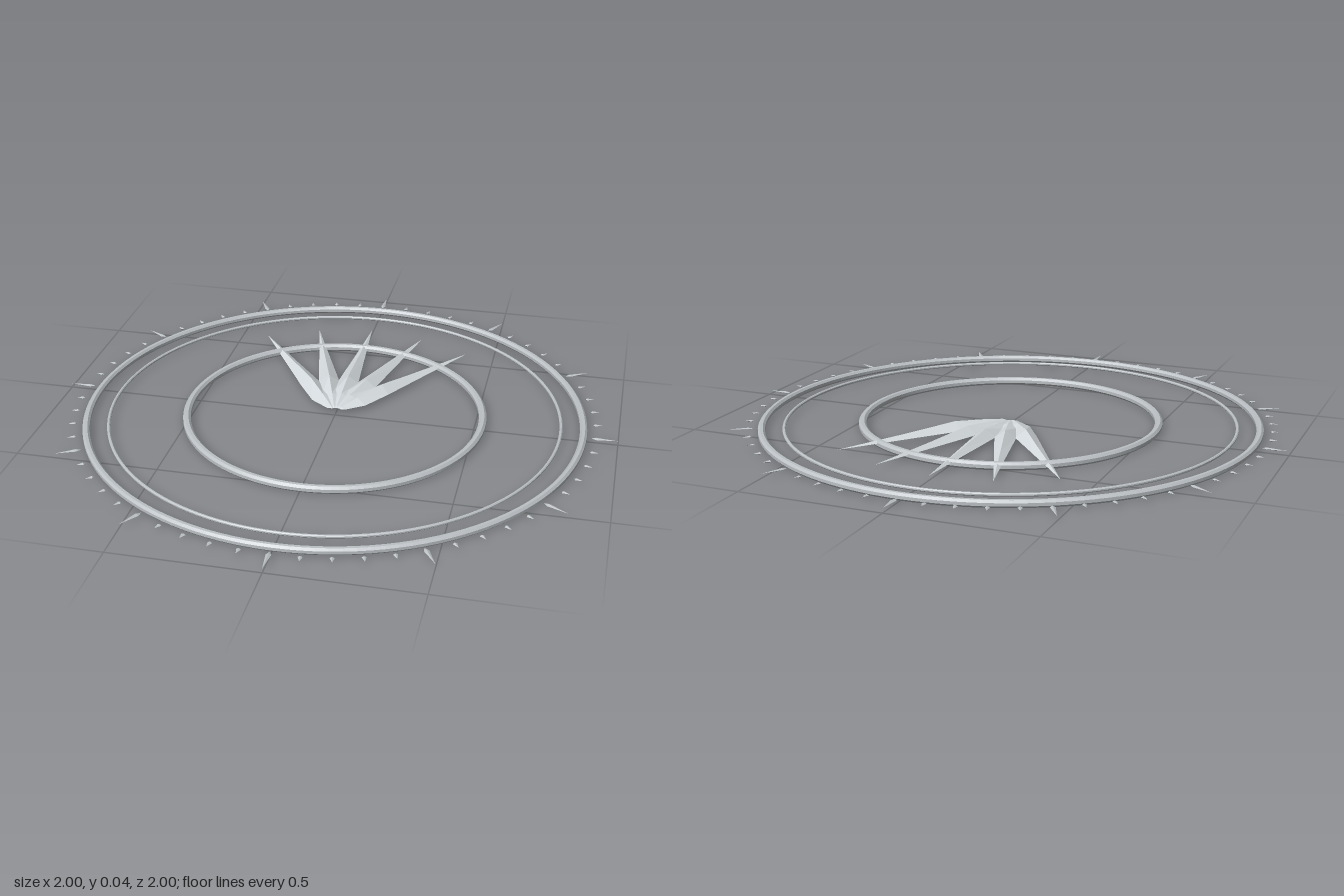
import * as THREE from 'three';

const paleSteel = new THREE.MeshStandardMaterial({ color: 0xd4dadd });
const steel = new THREE.MeshStandardMaterial({ color: 0xbcc1c5 });

// Faceted blade along -z; each section is [distance, half width, ridge height, underside height]
function bladeGeometry(sections) {
  const positions = [], index = [];
  for (const [r, w, top, under] of sections) {
    positions.push(w, 0, -r, 0, top, -r, -w, 0, -r, 0, under, -r);
  }
  for (let i = 0; i < sections.length - 1; i++) {
    for (let j = 0; j < 4; j++) {
      const a = i * 4 + j, b = i * 4 + (j + 1) % 4;
      index.push(a, a + 4, b, b, a + 4, b + 4);
    }
  }
  const geometry = new THREE.BufferGeometry();
  geometry.setAttribute('position', new THREE.Float32BufferAttribute(positions, 3));
  geometry.setIndex(index);
  const flat = geometry.toNonIndexed();
  flat.computeVertexNormals();
  return flat;
}

// Ring with an eight-sided section, flat on top and on its walls
function ringGeometry(radius, halfWidth) {
  const profile = [];
  for (let i = 0; i <= 8; i++) {
    const a = (i + 0.5) * Math.PI / 4, s = halfWidth / Math.cos(Math.PI / 8);
    profile.push(new THREE.Vector2(radius + s * Math.cos(a), s * Math.sin(a)));
  }
  const flat = new THREE.LatheGeometry(profile.reverse(), 128).toNonIndexed();
  flat.computeVertexNormals();
  // Lathe faces must look outward from the section
  const p = flat.attributes.position, n = flat.attributes.normal;
  const outward = (Math.hypot(p.getX(0), p.getZ(0)) - radius) * Math.hypot(n.getX(0), n.getZ(0))
    * Math.sign(p.getX(0) * n.getX(0) + p.getZ(0) * n.getZ(0)) + p.getY(0) * n.getY(0);
  if (outward < 0) {
    flat.setIndex(Array.from({ length: p.count }, (_, i) => i - i % 3 + 2 - i % 3));
    const turned = flat.toNonIndexed();
    turned.computeVertexNormals();
    return turned;
  }
  return flat;
}

export function createModel() {
  const model = new THREE.Group();

  function add(name, geometry, material, y, angle = 0) {
    const mesh = new THREE.Mesh(geometry, material);
    mesh.name = name;
    mesh.position.y = y;
    mesh.rotation.y = angle;
    model.add(mesh);
  }

  // Three concentric rings lying flat
  const rings = [['outerRing', 0.88, 0.0125], ['middleRing', 0.802, 0.0055], ['innerRing', 0.527, 0.0135]];
  for (const [name, radius, halfWidth] of rings) {
    add(name, ringGeometry(radius, halfWidth), steel, 0.0155);
  }

  // Sixty small spikes around the rim, every fifth one long
  const longSpike = bladeGeometry([[0.908, 0, 0, 0], [0.925, 0.009, 0.004, -0.004], [1, 0, 0, 0]]);
  const shortSpike = bladeGeometry([[0.915, 0, 0, 0], [0.921, 0.008, 0.004, -0.004], [0.945, 0, 0, 0]]);
  for (let i = 0; i < 60; i++) {
    const long = i % 5 === 0;
    add(long ? 'longSpike' : 'shortSpike', long ? longSpike : shortSpike, steel, 0.0175, i * Math.PI / 30);
  }

  // Fan of five tapering blades, each a folded thin sheet
  const fanBlade = bladeGeometry([
    [0.022, 0, 0, 0],
    [0.032, 0.016, 0.004, 0.001],
    [0.11, 0.043, 0.015, 0.011],
    [0.23, 0.038, 0.027, 0.023],
    [0.42, 0.022, 0.014, 0.011],
    [0.685, 0, 0, 0],
  ]);
  for (let i = -2; i <= 2; i++) {
    add('fanBlade', fanBlade, paleSteel, 0.018, THREE.MathUtils.degToRad(i * 17.7));
  }

  return model;
}
